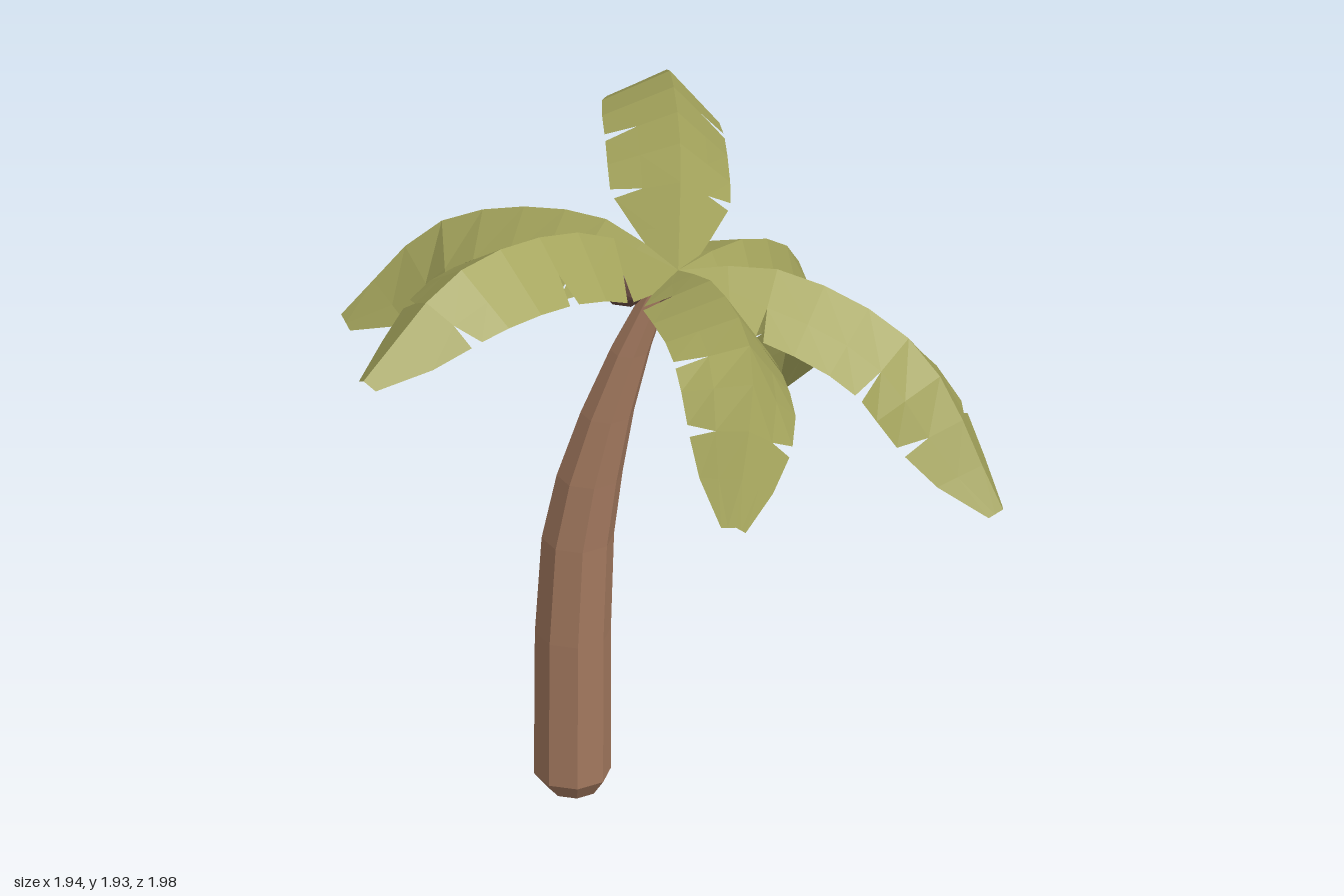
import * as THREE from 'three';

const leafMat = new THREE.MeshStandardMaterial({ color: 0xa4a45c, flatShading: true, side: THREE.DoubleSide, name: 'leafGreen' });
const barkMat = new THREE.MeshStandardMaterial({ color: 0xa2785e, flatShading: true, name: 'barkBrown' });
const nutMat = new THREE.MeshStandardMaterial({ color: 0x674b42, flatShading: true, name: 'coconutBrown' });

const UP = new THREE.Vector3(0, 1, 0);
const CROWN = new THREE.Vector3(0.04, 1.65, -0.01);

// Leaf half-width (0..1): quick swell from the stem, full blade, blunt tip
function widthAt(t) {
  const swell = THREE.MathUtils.smoothstep(t, -0.1, 0.27);
  return swell * (1 - 0.8 * Math.max(0, (t - 0.45) / 0.55) ** 3);
}

// Leaf: two sloping halves hung from a curved midrib, with wedge notches in the edges.
// Each half is [sideways reach, drop].
function makeLeaf(rib, halves) {
  const curve = new THREE.CatmullRomCurve3([CROWN, ...rib.map(p => new THREE.Vector3(...p))]);
  const N = 9, GAP = 0.015, INNER = 0.55, pos = [];
  const notches = [[2, 5, 7], [2, 4, 7]];
  const point = (t, f, sign, [reach, drop]) => {
    const tan = curve.getTangentAt(t);
    const side = tan.clone().cross(UP).normalize();
    const normal = side.clone().cross(tan);
    const w = widthAt(t) * f;
    return curve.getPointAt(t).addScaledVector(side, sign * reach * w).addScaledVector(normal, -drop * w);
  };
  const quad = (a, b, c, d, sign) => {
    const tris = sign > 0 ? [a, b, c, a, c, d] : [a, c, b, a, d, c];
    tris.forEach(p => pos.push(p.x, p.y, p.z));
  };
  halves.forEach((half, h) => {
    const sign = h ? -1 : 1;
    const p = (t, f) => point(t, f, sign, half);
    for (let i = 0; i < N; i++) {
      const a = i / N, b = (i + 1) / N;
      const ea = notches[h].includes(i) ? a + GAP : a;
      const eb = notches[h].includes(i + 1) ? b - GAP : b;
      quad(p(a, 0), p(a, INNER), p(b, INNER), p(b, 0), sign);
      quad(p(a, INNER), p(ea, 1), p(eb, 1), p(b, INNER), sign);
    }
  });
  const geo = new THREE.BufferGeometry();
  geo.setAttribute('position', new THREE.Float32BufferAttribute(pos, 3));
  geo.computeVertexNormals();
  return new THREE.Mesh(geo, leafMat);
}

// Trunk: eight-sided column, each ring moved to [y, x, z, radius]
function makeTrunk() {
  const rings = [
    [0, -0.242, 0.053, 0.07], [0.05, -0.245, 0.054, 0.107], [0.5, -0.243, 0.056, 0.106], [0.8, -0.23, 0.052, 0.101],
    [1.0, -0.198, 0.045, 0.092], [1.2, -0.15, 0.035, 0.075], [1.4, -0.088, 0.02, 0.057], [1.64, 0.003, 0, 0.032],
  ];
  const n = rings.length - 1;
  const geo = new THREE.CylinderGeometry(1, 1, 1, 8, n);
  geo.rotateY(Math.PI / 8);
  const p = geo.attributes.position;
  for (let i = 0; i < p.count; i++) {
    const [y, x, z, r] = rings[Math.round((p.getY(i) + 0.5) * n)];
    p.setXYZ(i, x + p.getX(i) * r, y, z + p.getZ(i) * r);
  }
  geo.computeVertexNormals();
  const mesh = new THREE.Mesh(geo, barkMat);
  mesh.name = 'trunk';
  return mesh;
}

function makeCoconut(x, y, z, radius) {
  const nut = new THREE.Mesh(new THREE.IcosahedronGeometry(radius, 1), nutMat);
  nut.position.set(x, y, z);
  nut.name = 'coconut';
  return nut;
}

export function createModel() {
  const model = new THREE.Group();
  model.name = 'palmTree';
  model.add(
    makeTrunk(),
    makeCoconut(-0.11, 1.605, -0.01, 0.083),
    makeCoconut(0.09, 1.565, 0.08, 0.088),
    makeCoconut(0.06, 1.495, -0.06, 0.077),
  );

  // Fronds: midrib points out from the crown, then the two halves
  const addLeaf = (name, rib, halves) => {
    const leaf = makeLeaf(rib, halves);
    leaf.name = name;
    model.add(leaf);
  };
  addLeaf('leftLeaf', [[0.3, 1.66, -0.07], [0.7, 1.47, -0.08], [0.97, 1.03, 0]], [[0.21, 0.12], [0.16, 0.12]]);
  addLeaf('frontLeftLeaf', [[0.22, 1.77, 0.25], [0.42, 1.76, 0.62], [0.47, 1.45, 0.99]], [[0.21, 0.05], [0.12, 0.19]]);
  addLeaf('frontRightLeaf', [[-0.16, 1.88, 0.24], [-0.42, 1.92, 0.6], [-0.62, 1.7, 0.89]], [[0.18, 0.13], [0.18, 0.13]]);
  addLeaf('rightLeaf', [[-0.22, 1.71, -0.14], [-0.7, 1.56, -0.26], [-0.97, 1.26, -0.19]], [[0.08, 0.16], [0.25, 0.17]]);
  addLeaf('backLeaf', [[-0.03, 1.86, -0.3], [-0.16, 1.88, -0.68], [-0.27, 1.65, -0.99]], [[0.14, 0.16], [0.2, 0.08]]);
  addLeaf('backLeftLeaf', [[0.15, 1.63, -0.25], [0.23, 1.4, -0.58], [0.12, 0.87, -0.81]], [[0.08, 0.14], [0.23, 0.08]]);
  return model;
}
